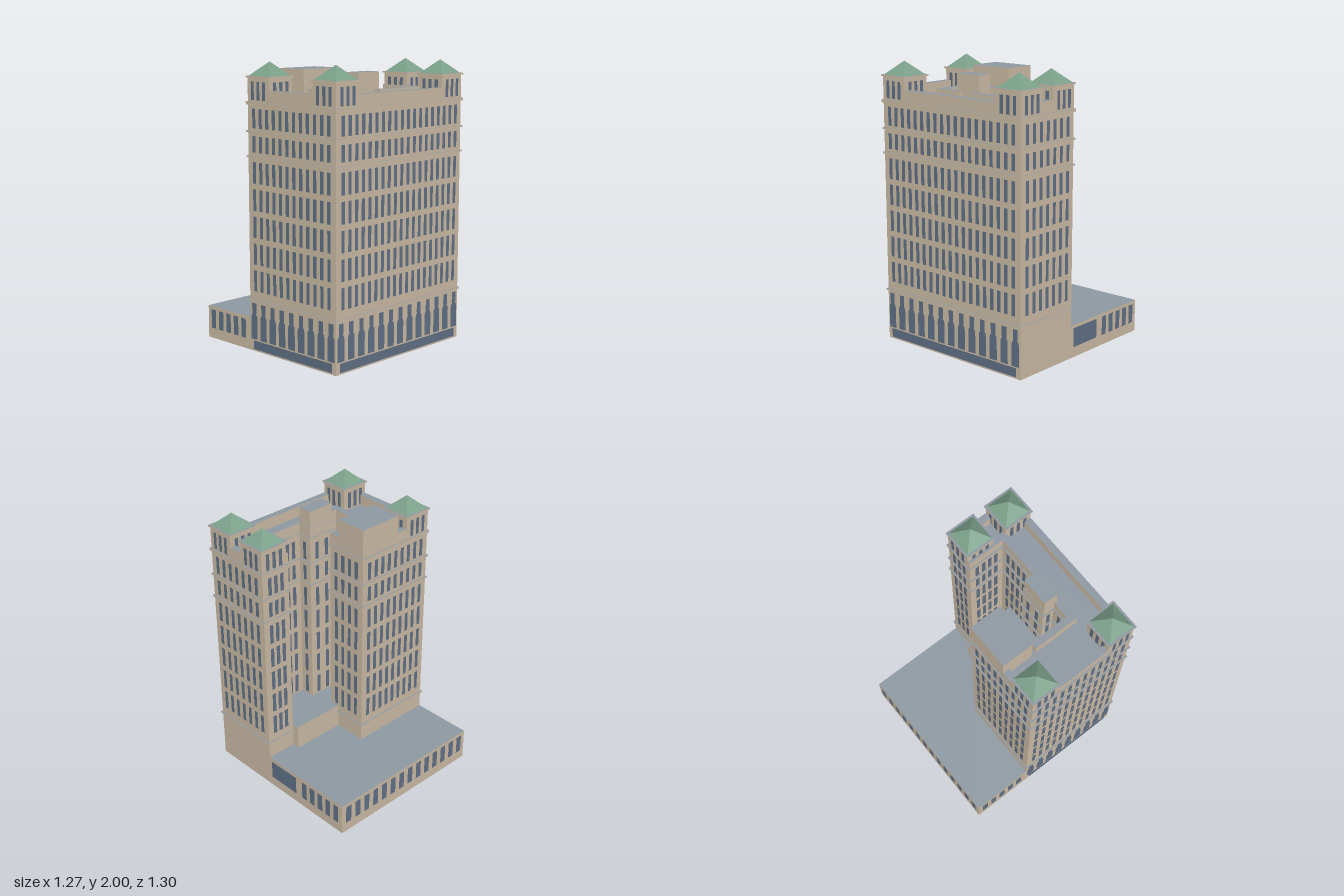
import * as THREE from 'three';
import { mergeGeometries } from 'three/addons/utils/BufferGeometryUtils.js';

const mat = (name, color, side = THREE.FrontSide) => {
  const m = new THREE.MeshStandardMaterial({ color, side });
  m.name = name;
  return m;
};

export function createModel() {
  const model = new THREE.Group();
  const stone = mat('stone', 0xcabaa4, THREE.DoubleSide);
  const roof = mat('roofGrey', 0x8e98a2, THREE.DoubleSide);
  const glass = mat('windowBlue', 0x5f7086);
  const copper = mat('copperGreen', 0x7ba08a);

  const X = 0.627, FRONT = 0.638, BACK = -0.645, WING = -0.19;
  const LOW = 0.235, TOP = 1.735;

  const add = (name, geometry, material) => {
    const mesh = new THREE.Mesh(geometry, material);
    mesh.name = name;
    model.add(mesh);
    return mesh;
  };
  const rect = (x0, x1, z0, z1) => [[x0, z1], [x1, z1], [x1, z0], [x0, z0]];
  const edges = (pts) => pts.map((a, i) => [a, pts[(i + 1) % pts.length]]);
  const toVec = (pts) => pts.map(([x, z]) => new THREE.Vector2(x, -z));
  const normal = ([a, b]) => {
    const l = Math.hypot(b[0] - a[0], b[1] - a[1]);
    return [-(b[1] - a[1]) / l, (b[0] - a[0]) / l];
  };
  // Offsets a right-angled outline outwards by d
  const offset = (pts, d) => {
    const n = edges(pts).map(normal);
    return pts.map(([x, z], i) => {
      const p = n[(i + n.length - 1) % n.length], q = n[i];
      return [x + d * (p[0] + q[0]), z + d * (p[1] + q[1])];
    });
  };
  // Upright prism over an outline: grey top, stone sides
  const prism = (name, pts, y0, y1, hole) => {
    const shape = new THREE.Shape(toVec(pts));
    if (hole) shape.holes.push(new THREE.Path(toVec(hole)));
    const g = new THREE.ExtrudeGeometry(shape, { depth: y1 - y0, bevelEnabled: false });
    g.rotateX(-Math.PI / 2).translate(0, y0, 0);
    return add(name, g, [roof, stone]);
  };
  const flat = (name, pts, y) => {
    const g = new THREE.ShapeGeometry(new THREE.Shape(toVec(pts)));
    add(name, g.rotateX(-Math.PI / 2).translate(0, y, 0), roof);
  };
  // Puts a flat geometry on the wall along an edge, s = distance from its start
  const onWall = (g, edge, s, y, out = 0) => {
    const [nx, nz] = normal(edge), [a] = edge;
    g.rotateY(Math.atan2(nx, nz));
    return g.translate(a[0] + nz * s + nx * out, y, a[1] - nx * s + nz * out);
  };
  const len = ([a, b]) => Math.hypot(b[0] - a[0], b[1] - a[1]);
  const wall = (edge, y0, y1) =>
    onWall(new THREE.PlaneGeometry(len(edge), y1 - y0), edge, len(edge) / 2, (y0 + y1) / 2);
  const pane = (edge, s, w, y0, y1) =>
    onWall(new THREE.PlaneGeometry(w, y1 - y0), edge, s, (y0 + y1) / 2, 0.003);
  const columns = (L, n, margin) =>
    Array.from({ length: n }, (_, i) => (n === 1 ? L / 2 : margin + (i * (L - 2 * margin)) / (n - 1)));

  // Tower outline with its rear light court
  const court = [[0.4, 0.39], [0.05, 0.39], [0.05, 0.28], [-0.16, 0.28],
    [-0.16, 0.37], [-0.28, 0.37], [-0.28, 0.13], [0, 0.13]];
  const outline = [[-X, FRONT], [X, FRONT], [X, 0.11], [0.4, 0.11], ...court, [0, WING], [-X, WING]];
  const sides = edges(outline);
  const frontEdge = sides[0], leftEdge = sides[1], rightEdge = sides[sides.length - 1];
  const street = [frontEdge, leftEdge, rightEdge];
  add('towerWalls', mergeGeometries(sides.map((e) => wall(e, street.includes(e) ? 0 : LOW, TOP))), stone);
  flat('towerRoof', outline, TOP);

  // Ledges and parapet
  [[0.358, 0.37], [1.355, 1.367], [1.528, 1.54], [1.714, 1.735]].forEach(([y0, y1]) =>
    prism('ledge', offset(outline, 0.01), y0, y1, outline));
  prism('parapet', outline, TOP, 1.813, offset(outline, -0.05));

  // Tower windows on every wall
  const rows = [0, 1, 2, 3, 4].map((i) => [0.43 + i * 0.1875, 0.577 + i * 0.1875]);
  rows.push([1.392, 1.503], [1.556, 1.688]);
  const panes = [];
  sides.forEach((e) => {
    const n = Math.max(1, Math.round((len(e) - 0.12) / 0.064) + 1);
    columns(len(e), n, 0.061).forEach((s) => rows.forEach(([a, b]) => panes.push(pane(e, s, 0.03, a, b))));
  });
  add('towerWindows', mergeGeometries(panes), glass);

  // Shouldered ground-floor windows above a glazed band
  const half = [[0.032, 0.085], [0.032, 0.235], [0.027, 0.253], [0.017, 0.263], [0.021, 0.27], [0.021, 0.342]];
  const profile = [...half, ...half.map(([x, y]) => [-x, y]).reverse()];
  const shopShape = new THREE.Shape(profile.map(([x, y]) => new THREE.Vector2(x, y)));
  [[frontEdge, 13], [rightEdge, 9]].forEach(([e, n]) => {
    const parts = columns(len(e), n, 0.043).map((s) =>
      onWall(new THREE.ShapeGeometry(shopShape), e, s, 0, 0.003));
    parts.push(pane(e, len(e) / 2, len(e) - 0.07, 0.012, 0.075));
    add('groundFloorWindows', mergeGeometries(parts), glass);
  });

  // Low rear building, open below
  const lowPlan = [[0, 0.055], [0.4, 0.055], [0.4, 0.11], [X, 0.11], [X, BACK], [-X, BACK], [-X, WING], [0, WING]];
  const lowSides = edges(lowPlan);
  const [lowLeft, lowBack, lowRight] = [lowSides[3], lowSides[4], lowSides[5]];
  add('rearBuildingWalls', mergeGeometries([lowLeft, lowBack, lowRight].map((e) => wall(e, 0, LOW))), stone);
  flat('rearBuildingRoof', lowPlan, LOW);
  const lowPanes = [pane(lowLeft, 0.155, 0.26, 0.075, 0.212)];
  columns(0.323, 5, 0).forEach((s) => {
    lowPanes.push(pane(lowLeft, 0.372 + s, 0.048, 0.075, 0.212));
    lowPanes.push(pane(lowRight, 0.06 + s, 0.048, 0.075, 0.212));
  });
  columns(len(lowBack), 14, 0.06).forEach((s) => lowPanes.push(pane(lowBack, s, 0.048, 0.075, 0.212)));
  add('rearBuildingWindows', mergeGeometries(lowPanes), glass);

  // Raised floor of the light court
  const courtFloor = [[0, 0.055], [0, 0.13], ...court.slice(0, 7).reverse(), [0.4, 0.055]];
  flat('courtFloor', courtFloor, 0.415);
  add('courtStep', wall([[0.4, 0.055], [0, 0.055]], LOW, 0.415), stone);
  add('courtStepEnd', wall([[0.4, 0.11], [0.4, 0.055]], LOW, 0.415), stone);

  // Rooftop machine rooms
  prism('largePenthouse', rect(-0.33, 0, WING, 0.045), TOP, 1.945);
  prism('smallPenthouse', rect(-0.16, 0.045, 0.285, 0.39), TOP, 1.93);

  // Corner pavilions with pyramid roofs
  const W = 0.21;
  [[-X, FRONT - W], [X - W, FRONT - W], [X - W, 0.11], [-X, WING]].forEach(([x, z]) => {
    const plan = rect(x, x + W, z, z + W);
    prism('pavilion', plan, TOP, 1.9);
    prism('pavilionEave', offset(plan, 0.01), 1.895, 1.906);
    const g = edges(plan).flatMap((e) => columns(W, 3, 0.05).map((s) => pane(e, s, 0.028, 1.746, 1.868)));
    add('pavilionWindows', mergeGeometries(g), glass);
    const cone = new THREE.ConeGeometry(0.1 * Math.SQRT2, 0.094, 4, 1).toNonIndexed();
    cone.rotateY(Math.PI / 4).computeVertexNormals();
    add('pavilionRoof', cone, copper).position.set(x + W / 2, 1.953, z + W / 2);
  });

  return model;
}
